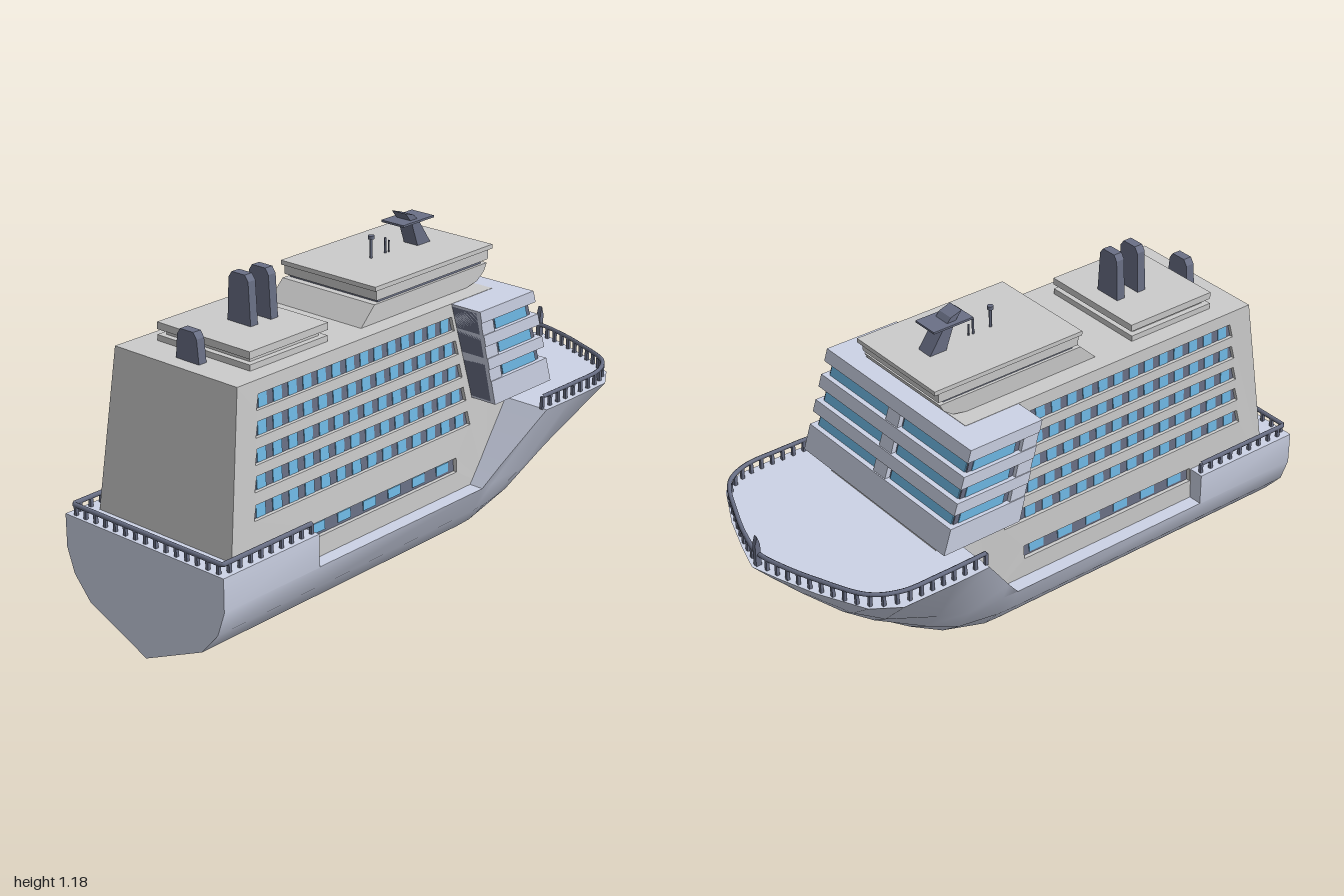
import * as THREE from 'three';
import { toCreasedNormals } from 'three/addons/utils/BufferGeometryUtils.js';

const mat = (color) => new THREE.MeshStandardMaterial({ color, roughness: 0.8 });
const GREY = mat(0xcccccc), WHITE = mat(0xcdd3e6), DARK = mat(0x6a7086), BLUE = mat(0x70bbe8);

function add(parent, name, geometry, material) {
  const mesh = new THREE.Mesh(geometry, material);
  mesh.name = name;
  parent.add(mesh);
  return mesh;
}

// Side outline [x, y] extruded from z0 to z1, with optional holes
function prism(points, z0, z1, holes = []) {
  const vec = (list) => list.map(([x, y]) => new THREE.Vector2(x, y));
  const shape = new THREE.Shape(vec(points));
  holes.forEach((h) => shape.holes.push(new THREE.Path(vec(h))));
  return new THREE.ExtrudeGeometry(shape, { depth: z1 - z0, bevelEnabled: false }).translate(0, 0, z0);
}

const slab = (x0, x1, y0, y1, hw) => prism([[x0, y0], [x1, y0], [x1, y1], [x0, y1]], -hw, hw);

// Superstructure walls lean inwards towards the roof
function taper(geometry) {
  const p = geometry.attributes.position;
  for (let i = 0; i < p.count; i++) {
    const t = THREE.MathUtils.clamp((p.getY(i) - 0.3) / 0.63, 0, 1);
    p.setZ(i, p.getZ(i) * (1 - 0.12 * t));
  }
  geometry.computeVertexNormals();
  return geometry;
}

function hullGeometry() {
  // x, keel height, deck height, deck half width
  const stations = [
    [-1, 0, 0.39, 0.35], [-0.58, 0, 0.39, 0.35], [-0.58, 0, 0.277, 0.35], [0.22, 0, 0.277, 0.352],
    [0.28, 0.003, 0.35, 0.38], [0.42, 0.07, 0.53, 0.46], [0.55, 0.16, 0.53, 0.463], [0.75, 0.324, 0.53, 0.46],
    [0.84, 0.398, 0.53, 0.4], [0.92, 0.464, 0.53, 0.24], [0.97, 0.505, 0.53, 0.1], [1, 0.53, 0.53, 0],
  ];
  const rise = [0, 0.12, 0.27, 0.48], spread = [0, 0.45, 0.64, 0.78];
  const midY = [0, 0.11, 0.19, 0.275], midZ = [0, 0.25, 0.32, 0.35];
  const pos = [], idx = [], n = 9;
  for (const [x, k, d, w] of stations) {
    const half = rise.map((f, i) => (x < 0.3 ? [midY[i] + k, midZ[i]] : [k + (d - k) * f, w * spread[i]]));
    half.push([d, w]);
    for (let i = 4; i >= 0; i--) pos.push(x, half[i][0], half[i][1]);
    for (let i = 1; i <= 4; i++) pos.push(x, half[i][0], -half[i][1]);
  }
  for (let s = 0; s < stations.length - 1; s++) {
    for (let j = 0; j < n; j++) {
      const a = s * n + j, c = s * n + ((j + 1) % n);
      idx.push(a, c, a + n, c, c + n, a + n);
    }
  }
  for (let j = 1; j < n - 1; j++) idx.push(0, j + 1, j); // transom
  const g = new THREE.BufferGeometry();
  g.setAttribute('position', new THREE.Float32BufferAttribute(pos, 3));
  g.setIndex(idx);
  return toCreasedNormals(g, 0.65);
}

// Handrail along a path, with posts down to the deck
function railing(name, curve, deckY, count) {
  const group = new THREE.Group();
  group.name = name;
  add(group, 'handrail', new THREE.TubeGeometry(curve, 120, 0.008, 6), DARK);
  for (const p of curve.getSpacedPoints(count)) {
    const h = p.y - deckY;
    add(group, 'railPost', new THREE.BoxGeometry(0.011, h, 0.011), DARK).position.set(p.x, deckY + h / 2, p.z);
  }
  return group;
}

function superstructure() {
  const g = new THREE.Group();
  g.name = 'superstructure';
  const outline = [[-0.925, 0.25], [0.3, 0.25], [0.5, 0.5], [0.5, 0.53], [0.36, 0.93], [-0.84, 0.93]];
  // Window rows: centre height, start, end, pane count, pane share of pitch
  const rows = [0.86, 0.775, 0.69, 0.605, 0.515].map((y) => [y, -0.76 - (0.86 - y) * 0.11, 0.155 + (0.86 - y) * 0.19, 14, 0.56]);
  rows.push([0.37, -0.575, 0.15, 6, 0.5]);
  const holes = [];
  for (const [y, x0, x1, count, share] of rows) {
    const lean = y > 0.4 ? 0.006 : 0;
    const strip = (a, b, h) => [[a - lean, y - h], [b + lean, y - h], [b - lean, y + h], [a + lean, y + h]];
    holes.push(strip(x0, x1, 0.025));
    add(g, 'windowStrip', taper(prism(strip(x0 - 0.01, x1 + 0.01, 0.027), -0.286, 0.286)), DARK);
    const pitch = (x1 - x0) / count;
    for (let i = 0; i < count; i++) {
      const a = x0 + pitch * (i + (1 - share) / 2), h = y > 0.4 ? 0.024 : 0.016;
      const pane = [[a, y - h], [a + pitch * share, y - h], [a + pitch * share, y + h], [a, y + h]];
      add(g, 'windowPane', taper(prism(pane, -0.289, 0.289)), BLUE);
    }
  }
  add(g, 'superstructureCore', taper(prism(outline, -0.28, 0.28)), GREY);
  add(g, 'leftWall', taper(prism(outline, 0.28, 0.3, holes)), GREY);
  add(g, 'rightWall', taper(prism(outline, -0.3, -0.28, holes)), GREY);
  return g;
}

function bridge() {
  const g = new THREE.Group();
  g.name = 'bridge';
  const back = (y) => 0.15 + (0.93 - y) * 0.257, front = (y) => 0.43 + (0.93 - y) * 0.314;
  const cut = (y0, y1, a, b) => [[a(y0), y0], [b(y0), y0], [b(y1), y1], [a(y1), y1]];
  const frontIn = (d) => (y) => front(y) - d;
  add(g, 'bridgeCore', prism(cut(0.59, 0.92, back, frontIn(0.022)), -0.366, 0.366), DARK);
  add(g, 'bridgeRearPillar', prism(cut(0.582, 0.925, back, (y) => back(y) + 0.06), -0.38, 0.38), WHITE);
  add(g, 'bridgeCentrePillar', prism(cut(0.582, 0.925, (y) => front(y) - 0.05, frontIn(0.004)), -0.032, 0.032), WHITE);
  for (const [y0, y1] of [[0.582, 0.67], [0.714, 0.755], [0.8, 0.842], [0.887, 0.929]]) {
    add(g, 'bridgeBand', prism(cut(y0, y1, back, front), -0.383, 0.383), WHITE);
  }
  for (const [y0, y1] of [[0.67, 0.714], [0.755, 0.8], [0.842, 0.887]]) {
    add(g, 'bridgeSideWindow', prism(cut(y0, y1, (y) => back(y) + 0.08, frontIn(0.04)), -0.369, 0.369), BLUE);
    for (const [z0, z1] of [[0.04, 0.36], [-0.36, -0.04]]) {
      add(g, 'bridgeFrontWindow', prism(cut(y0, y1, frontIn(0.05), frontIn(0.018)), z0, z1), BLUE);
    }
  }
  return g;
}

export function createModel() {
  const ship = new THREE.Group();
  ship.name = 'cruiseShip';
  add(ship, 'hull', hullGeometry(), WHITE);
  ship.add(superstructure(), bridge());

  // Forward deckhouse
  const base = [[-0.22, 0.929], [0.3, 0.929], [0.36, 0.94], [0.395, 0.965], [0.41, 0.992], [-0.155, 0.992]];
  add(ship, 'forwardHouseBase', prism(base, -0.2, 0.2), GREY);
  add(ship, 'forwardHouseGroove', slab(-0.13, 0.39, 0.98, 1.01, 0.19), DARK);
  add(ship, 'forwardHouseWall', slab(-0.145, 0.415, 1.003, 1.037, 0.2), GREY);
  add(ship, 'forwardHouseRoof', slab(-0.157, 0.432, 1.037, 1.052, 0.205), GREY);

  // Aft deckhouse
  add(ship, 'aftHouseBase', slab(-0.72, -0.375, 0.929, 0.95, 0.2), GREY);
  add(ship, 'aftHouseGroove', slab(-0.7, -0.395, 0.94, 0.975, 0.18), GREY);
  add(ship, 'aftHouseRoof', slab(-0.72, -0.372, 0.968, 0.992, 0.2), GREY);

  // Funnels: profile drawn across the ship
  for (const [x, y, h] of [[-0.545, 0.99, 0.165], [-0.455, 0.99, 0.165], [-0.77, 0.928, 0.102]]) {
    const profile = [[-0.05, 0], [0.05, 0], [0.042, h - 0.02], [0.028, h], [-0.028, h], [-0.042, h - 0.02]];
    const funnel = add(ship, 'funnel', prism(profile, -0.016, 0.016), DARK);
    funnel.rotation.y = Math.PI / 2;
    funnel.position.set(x, y, 0);
  }

  // Raked mast with crossplate, and aerials
  const fin = [[0.255, 1.05], [0.32, 1.05], [0.265, 1.13], [0.235, 1.163], [0.192, 1.176], [0.222, 1.14]];
  add(ship, 'mast', prism(fin, -0.03, 0.03), DARK);
  add(ship, 'mastPlate', slab(0.16, 0.315, 1.14, 1.147, 0.048), DARK);
  for (const [x, h, r] of [[0.055, 0.075, 0.005], [0.125, 0.055, 0.004], [0.143, 0.042, 0.003]]) {
    add(ship, 'aerial', new THREE.CylinderGeometry(r, r, h, 8), DARK).position.set(x, 1.05 + h / 2, 0);
  }
  add(ship, 'aerialCap', new THREE.CylinderGeometry(0.011, 0.011, 0.012, 10), DARK).position.set(0.055, 1.123, 0);

  // Railings
  const side = [[0.42, 0.44], [0.6, 0.442], [0.74, 0.435], [0.83, 0.385], [0.91, 0.225], [0.955, 0.1]];
  const bowPath = [...side, [0.975, 0], ...side.map(([x, z]) => [x, -z]).reverse()];
  const bowCurve = new THREE.CatmullRomCurve3(bowPath.map(([x, z]) => new THREE.Vector3(x, 0.572, z)));
  ship.add(railing('bowRailing', bowCurve, 0.528, 40));
  const corners = [[-0.595, 0.33], [-0.985, 0.33], [-0.985, -0.33], [-0.595, -0.33]].map(([x, z]) => new THREE.Vector3(x, 0.424, z));
  const sternCurve = new THREE.CurvePath();
  for (let i = 0; i < 3; i++) sternCurve.add(new THREE.LineCurve3(corners[i], corners[i + 1]));
  ship.add(railing('sternRailing', sternCurve, 0.388, 32));

  // Bow post
  const post = [[0.968, 0.528], [0.988, 0.528], [0.988, 0.61], [0.979, 0.64], [0.97, 0.61]];
  add(ship, 'bowPost', prism(post, -0.008, 0.008), DARK);
  return ship;
}
